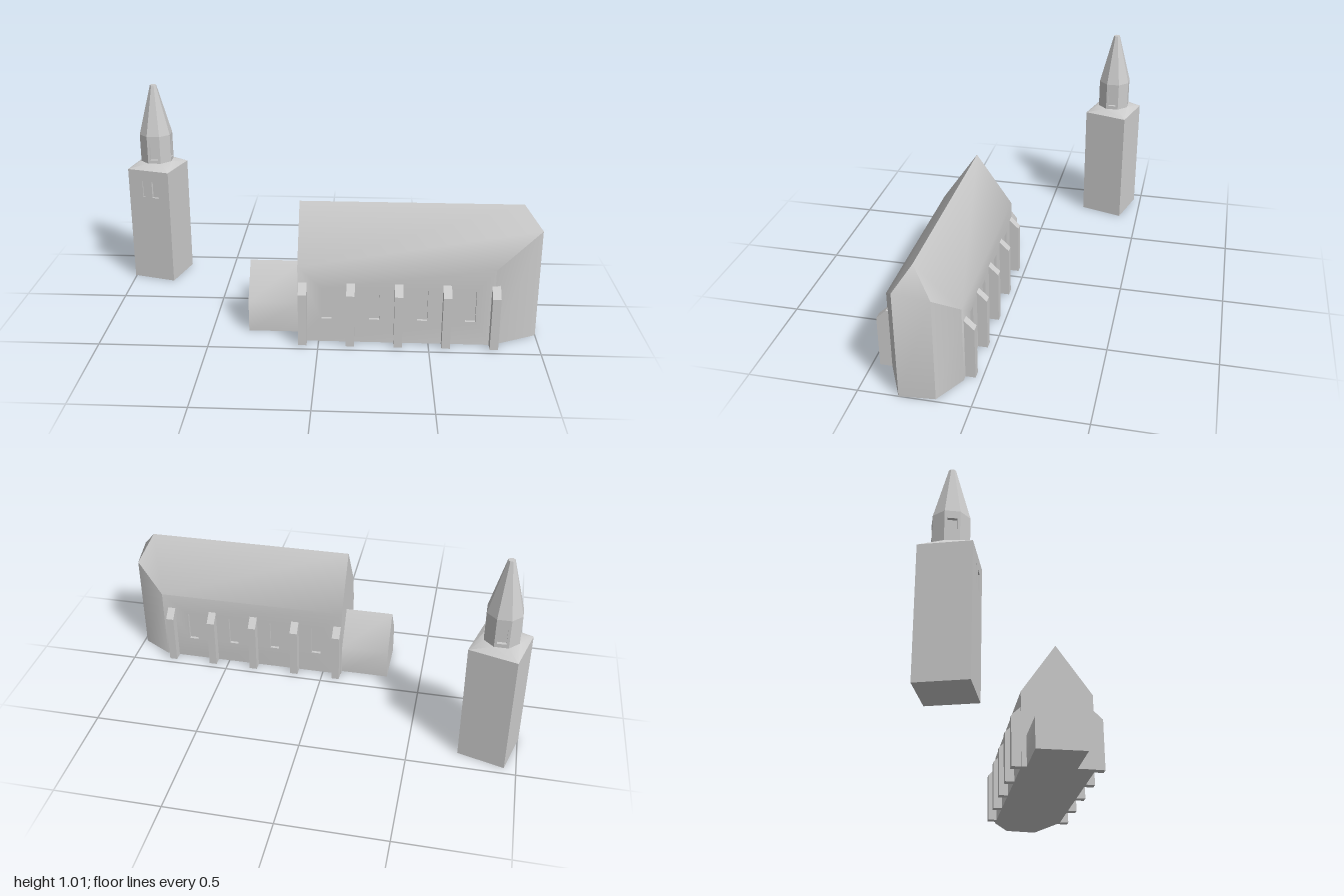
import * as THREE from 'three';
import { mergeGeometries, toCreasedNormals } from 'three/addons/utils/BufferGeometryUtils.js';
import { ConvexGeometry } from 'three/addons/geometries/ConvexGeometry.js';

const CREASE = 0.7;

// Flat polygons (corners counter-clockwise from outside) as a triangle soup
function faces(polygons) {
  const pos = [];
  for (const p of polygons)
    for (let i = 1; i < p.length - 1; i++) pos.push(...p[0], ...p[i], ...p[i + 1]);
  const g = new THREE.BufferGeometry();
  g.setAttribute('position', new THREE.Float32BufferAttribute(pos, 3));
  return g;
}

function bare(geometry) {
  const g = geometry.index ? geometry.toNonIndexed() : geometry;
  for (const name of Object.keys(g.attributes)) if (name !== 'position') g.deleteAttribute(name);
  return g;
}

const join = (list) => toCreasedNormals(mergeGeometries(list.map(bare)), CREASE);

const rect = (x0, x1, y0, y1) => [[x0, y0], [x1, y0], [x1, y1], [x0, y1]];

// Wall rectangle facing +z with recessed windows: [x centre, width, y0, y1, depth]
function wallPanel(x0, x1, y0, y1, windows) {
  const toV = ([x, y]) => new THREE.Vector2(x, y);
  const shape = new THREE.Shape(rect(x0, x1, y0, y1).map(toV));
  const recess = [];
  for (const [cx, w, wy0, wy1, depth] of windows) {
    const c = rect(cx - w / 2, cx + w / 2, wy0, wy1);
    shape.holes.push(new THREE.Path(c.map(toV).reverse()));
    const f = c.map(([x, y]) => [x, y, 0]);
    const b = c.map(([x, y]) => [x, y, -depth]);
    recess.push(b);
    for (let i = 0; i < 4; i++) {
      const j = (i + 1) % 4;
      recess.push([f[i], f[j], b[j], b[i]]);
    }
  }
  const parts = [bare(new THREE.ShapeGeometry(shape))];
  if (recess.length) parts.push(faces(recess));
  return mergeGeometries(parts);
}

export function createModel() {
  const model = new THREE.Group();
  model.name = 'churchWithBellTower';
  const stone = new THREE.MeshStandardMaterial({ color: 0xcccccc });
  stone.name = 'palePlaster';
  const add = (parent, name, geometry) => {
    const mesh = new THREE.Mesh(geometry, stone);
    mesh.name = name;
    parent.add(mesh);
    return mesh;
  };

  // ---- Church ----
  const church = new THREE.Group();
  church.name = 'church';
  model.add(church);

  const west = -0.095, eave = 0.37, ridge = 0.62, zRidge = 0.246;
  const zFront = 0.42, zBack = 0.075, firstX = -0.072, bay = 0.2165;
  // Plan corners of the east end: front shoulder, two end corners, back shoulder
  const A = [0.79, zFront], B = [1, 0.317], C = [0.985, 0.158], D = [0.84, zBack];
  const at = ([x, z], y) => [x, y, z];
  const yB = 0.52, yC = 0.495;
  const wf = [west, zFront], wb = [west, zBack];
  const ridgeW = [west, ridge, zRidge], ridgeE = [0.92, ridge, zRidge];

  const windowsFor = (side) => [0, 1, 2, 3].map((i) =>
    [side * (firstX + bay * (i + 0.5)), 0.046, 0.115, 0.265, 0.015]);
  const frontWall = wallPanel(west, A[0], 0, eave, windowsFor(1)).translate(0, 0, zFront);
  const backWall = wallPanel(-D[0], -west, 0, eave, windowsFor(-1))
    .rotateY(Math.PI).translate(0, 0, zBack);

  const shell = faces([
    // angled end walls
    [at(A, 0), at(B, 0), at(B, yB), at(A, eave)],
    [at(B, 0), at(C, 0), at(C, yC), at(B, yB)],
    [at(C, 0), at(D, 0), at(D, eave), at(C, yC)],
    // roof slopes and small hip
    [at(wf, eave), at(A, eave), at(B, yB), ridgeE, ridgeW],
    [at(D, eave), at(wb, eave), ridgeW, ridgeE, at(C, yC)],
    [at(B, yB), at(C, yC), ridgeE],
    // west gable and floor
    [at(wb, 0), at(wf, 0), at(wf, eave), ridgeW, at(wb, eave)],
    [at(wf, 0), at(wb, 0), at(D, 0), at(C, 0), at(B, 0), at(A, 0)],
  ]);
  add(church, 'nave', join([frontWall, backWall, shell]));

  // Low porch at the west gable
  const porchProfile = new THREE.Shape([[-0.335, 0], [-0.1, 0], [-0.1, 0.15], [-0.217, 0.31], [-0.335, 0.15]]
    .map(([x, y]) => new THREE.Vector2(x, y)));
  const porch = new THREE.ExtrudeGeometry(porchProfile, { depth: 0.24, bevelEnabled: false });
  porch.rotateY(Math.PI / 2).translate(-0.33, 0, 0);
  add(church, 'porch', join([porch]));

  // Buttresses with sloping caps along both sides
  const buttressProfile = new THREE.Shape([[-0.02, 0], [0.045, 0], [0.045, 0.25], [0, 0.293], [-0.02, 0.293]]
    .map(([x, y]) => new THREE.Vector2(x, y)));
  const buttress = new THREE.ExtrudeGeometry(buttressProfile, { depth: 0.038, bevelEnabled: false });
  buttress.translate(0, 0, -0.019).rotateY(-Math.PI / 2);
  for (let i = 0; i < 5; i++) {
    const x = firstX + bay * i;
    add(church, 'frontButtress', buttress).position.set(x, 0, zFront);
    const back = add(church, 'backButtress', buttress);
    back.position.set(x, 0, zBack);
    back.rotation.y = Math.PI;
  }

  // ---- Bell tower ----
  const tower = new THREE.Group();
  tower.name = 'bellTower';
  tower.position.set(-0.868, 0, -0.327);
  model.add(tower);

  // Square shaft, turned a little from the church axis
  const half = 0.1115, turn = -0.272, shaftTop = 0.592, belfryBase = 0.622, belfryTop = 0.762;
  const shaftWindows = [[0.036, 0.038, 0.45, 0.535, 0.012], [-0.029, 0.012, 0.45, 0.535, 0.006]];
  const sides = [0, 1, 2, 3].map((i) =>
    wallPanel(-half, half, 0, shaftTop, i === 0 ? shaftWindows : [])
      .translate(0, 0, half).rotateY(i * Math.PI / 2));
  const base = faces([[[-half, 0, -half], [half, 0, -half], [half, 0, half], [-half, 0, half]]]);
  add(tower, 'towerShaft', join([...sides, base])).rotation.y = turn;

  // Sloping skirt between the square shaft and the octagonal belfry
  const apothem = 0.0765, radius = apothem / Math.cos(Math.PI / 8);
  const ring = (n, r, y, start) => Array.from({ length: n }, (_, i) => {
    const a = start + i * 2 * Math.PI / n;
    return new THREE.Vector3(r * Math.sin(a), y, r * Math.cos(a));
  });
  const skirt = new ConvexGeometry([
    ...ring(4, half * Math.SQRT2, shaftTop, Math.PI / 4 + turn),
    ...ring(8, radius, belfryBase, Math.PI / 8),
  ]);
  add(tower, 'towerSkirt', join([skirt]));

  // Octagonal belfry with a sound opening on every other side
  const halfSide = apothem * Math.tan(Math.PI / 8);
  const belfry = Array.from({ length: 8 }, (_, i) =>
    wallPanel(-halfSide, halfSide, belfryBase, belfryTop, i % 2 ? [] : [[0, 0.04, 0.64, 0.728, 0.015]])
      .translate(0, 0, apothem).rotateY(i * Math.PI / 4));
  add(tower, 'belfry', join(belfry));

  // Spire
  const spireHeight = 1.012 - belfryTop;
  const spire = new THREE.CylinderGeometry(0.016, radius, spireHeight, 8, 1, false, Math.PI / 8);
  spire.translate(0, belfryTop + spireHeight / 2, 0);
  add(tower, 'spire', toCreasedNormals(bare(spire), 0.5));

  return model;
}
